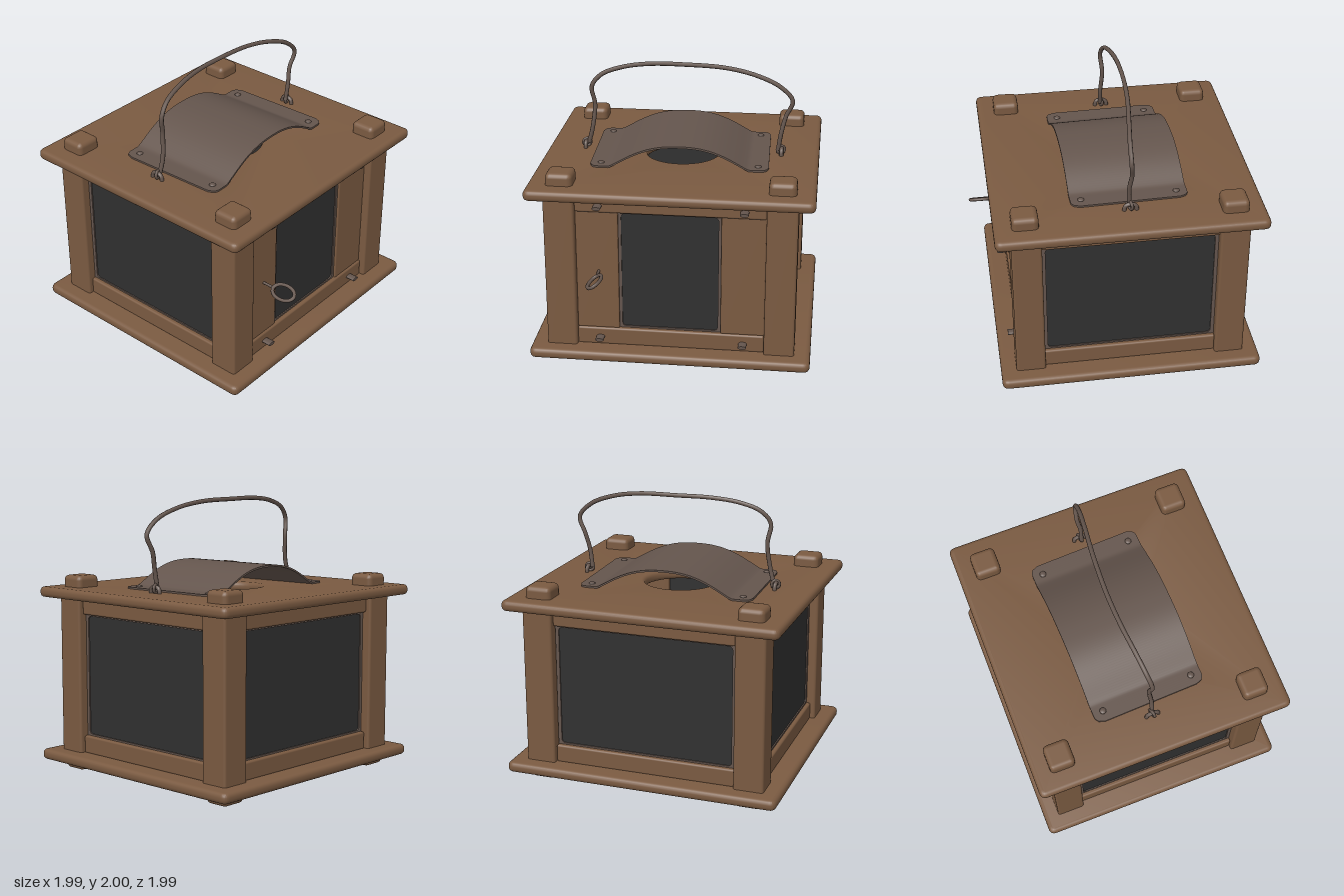
import * as THREE from 'three';
import { toCreasedNormals } from 'three/addons/utils/BufferGeometryUtils.js';
import { RoundedBoxGeometry } from 'three/addons/geometries/RoundedBoxGeometry.js';

const wood = new THREE.MeshStandardMaterial({ color: 0x7a5a41 });
wood.name = 'wood';
const metal = new THREE.MeshStandardMaterial({ color: 0x64554d });
metal.name = 'iron';
const glass = new THREE.MeshStandardMaterial({ color: 0x303030 });
glass.name = 'dark glass';

const CZ = -0.055; // centre of the wooden body in z

function add(parent, name, geometry, material, x = 0, y = 0, z = 0) {
  const mesh = new THREE.Mesh(geometry, material);
  mesh.name = name;
  mesh.position.set(x, y, z);
  parent.add(mesh);
  return mesh;
}

// Rounded box given by its limits
function block(parent, name, x0, x1, y0, y1, z0, z1, radius = 0.014) {
  const geo = new RoundedBoxGeometry(x1 - x0, y1 - y0, z1 - z0, 2, radius);
  return add(parent, name, geo, wood, (x0 + x1) / 2, (y0 + y1) / 2, (z0 + z1) / 2);
}

function roundedRect(target, x0, x1, y0, y1, r) {
  target.moveTo(x0 + r, y0);
  target.lineTo(x1 - r, y0).quadraticCurveTo(x1, y0, x1, y0 + r);
  target.lineTo(x1, y1 - r).quadraticCurveTo(x1, y1, x1 - r, y1);
  target.lineTo(x0 + r, y1).quadraticCurveTo(x0, y1, x0, y1 - r);
  target.lineTo(x0, y0 + r).quadraticCurveTo(x0, y0, x0 + r, y0);
  return target;
}

// Roof or floor board with soft edges and an optional round vent
function board(parent, name, y, ventRadius) {
  const shape = roundedRect(new THREE.Shape(), -0.995, 0.995, -0.935, 0.935, 0.05);
  if (ventRadius) {
    shape.holes.push(new THREE.Path().absarc(0, 0, ventRadius, 0, Math.PI * 2, true));
  }
  const geo = new THREE.ExtrudeGeometry(shape, {
    depth: 0.015, bevelThickness: 0.03, bevelSize: 0.03, bevelOffset: -0.03, bevelSegments: 4, curveSegments: 20,
  });
  geo.rotateX(-Math.PI / 2);
  add(parent, name, toCreasedNormals(geo, 0.7), wood, 0, y + 0.03, CZ);
}

// Glazed wall, facing local +z; glass spans g0 to g1 within the half width w
function wall(parent, name, angle, distance, w, g0, g1) {
  const side = new THREE.Group();
  side.name = name;
  side.rotation.y = angle;
  side.position.z = CZ;
  const d = distance;
  block(side, 'bottomRail', -w, w, 0.14, 0.27, d - 0.12, d - 0.035);
  block(side, 'topRail', -w, w, 1.16, 1.29, d - 0.12, d - 0.035);
  if (g0 > -w + 0.05) {
    block(side, 'leftStile', -w, g0, 0.265, 1.165, d - 0.12, d - 0.05, 0.01);
    block(side, 'rightStile', g1, w, 0.265, 1.165, d - 0.12, d - 0.05, 0.01);
  }
  const trim = roundedRect(new THREE.Shape(), g0 - 0.005, g1 + 0.005, 0.26, 1.17, 0.01);
  trim.holes.push(roundedRect(new THREE.Path(), g0 + 0.02, g1 - 0.02, 0.282, 1.148, 0.03));
  const trimGeo = new THREE.ExtrudeGeometry(trim, { depth: 0.02, bevelEnabled: false });
  add(side, 'windowTrim', trimGeo, metal, 0, 0, d - 0.085);
  add(side, 'windowPane', new THREE.BoxGeometry(g1 - g0, 0.9, 0.016), glass, (g0 + g1) / 2, 0.715, d - 0.082);
  parent.add(side);
}

// Height of the bent heat shield over its flat edges
function archHeight(x) {
  const t = Math.min(1, Math.abs(x) / 0.5);
  return 0.16 * Math.pow(1 - Math.pow(t, 2.4), 1.25);
}

function heatShield(parent) {
  const shield = new THREE.Group();
  shield.name = 'heatShield';
  shield.position.set(0, 1.358, -0.06);
  shield.rotation.y = 0.032;
  const halfX = 0.635, halfZ = 0.41, r = 0.06;
  const geo = new THREE.BoxGeometry(halfX * 2, 0.014, halfZ * 2, 80, 1, 1);
  const p = geo.attributes.position;
  for (let i = 0; i < p.count; i++) {
    const x = p.getX(i);
    const c = Math.max(0, Math.abs(x) - (halfX - r));
    const z = halfZ - r + Math.sqrt(Math.max(0, r * r - c * c));
    p.setY(i, p.getY(i) + archHeight(x));
    p.setZ(i, Math.sign(p.getZ(i)) * z);
  }
  add(shield, 'bentSheet', toCreasedNormals(geo, 0.6), metal);
  for (const sx of [-1, 1]) for (const sz of [-1, 1]) {
    const rivet = add(shield, 'rivet', new THREE.SphereGeometry(0.024, 12, 8), metal, sx * 0.56, 0.007, sz * 0.335);
    rivet.scale.y = 0.5;
  }
  parent.add(shield);
}

function wire(points, radius, segments, closed = false) {
  const curve = new THREE.CatmullRomCurve3(points.map((q) => new THREE.Vector3(...q)), closed);
  return new THREE.TubeGeometry(curve, segments, radius, 8, closed);
}

export function createModel() {
  const model = new THREE.Group();
  model.name = 'lantern';

  board(model, 'floorBoard', 0.07, 0);
  board(model, 'roofBoard', 1.277, 0.26);

  // Corner posts with tenons showing above the roof and below the floor
  for (const sx of [-1, 1]) for (const sz of [-1, 1]) {
    const x = sx * 0.773, z = CZ + sz * 0.72;
    block(model, 'cornerPost', x - 0.108, x + 0.108, 0.12, 1.3, z - 0.105, z + 0.105, 0.018);
    const tx = sx * 0.768;
    block(model, 'postTop', tx - 0.095, tx + 0.095, 1.3, 1.437, z - 0.092, z + 0.092, 0.035);
    block(model, 'foot', tx - 0.095, tx + 0.095, 0.005, 0.12, z - 0.09, z + 0.09, 0.03);
  }

  // Walls: a narrow door window in front, full panes elsewhere
  wall(model, 'frontDoor', 0, 0.825, 0.665, -0.365, 0.355);
  wall(model, 'backWall', Math.PI, 0.825, 0.665, -0.655, 0.655);
  wall(model, 'leftWall', Math.PI / 2, 0.88, 0.62, -0.61, 0.61);
  wall(model, 'rightWall', -Math.PI / 2, 0.88, 0.62, -0.61, 0.61);

  // Door pegs
  for (const x of [-0.5, 0.515]) for (const y of [0.205, 1.215]) {
    const peg = add(model, 'doorPeg', new THREE.CylinderGeometry(0.03, 0.03, 0.09, 14), metal, x, y, 0.757);
    peg.rotation.x = Math.PI / 2;
    peg.scale.z = 0.42;
  }

  // Door pull: a tilted oval ring on a short stem
  const pull = new THREE.Group();
  pull.name = 'doorPull';
  pull.position.set(-0.505, 0.712, 0);
  pull.rotation.z = 0.55;
  const ring = [];
  for (let i = 0; i < 12; i++) {
    const a = (i / 12) * Math.PI * 2;
    ring.push([Math.cos(a) * 0.055, 0, 0.897 + Math.sin(a) * 0.09]);
  }
  add(pull, 'pullRing', wire(ring, 0.013, 40, true), metal);
  const stem = add(pull, 'pullStem', new THREE.CylinderGeometry(0.01, 0.01, 0.12, 8), metal, 0, 0, 0.75);
  stem.rotation.x = Math.PI / 2;
  model.add(pull);

  heatShield(model);

  // Bent wire carrying handle
  const path = [
    [-0.7, 1.385, -0.06], [-0.67, 1.5, -0.055], [-0.65, 1.68, -0.068], [-0.668, 1.82, -0.055],
    [-0.6, 1.905, -0.07], [-0.45, 1.96, -0.09], [-0.25, 1.985, -0.112], [0, 1.985, -0.12],
    [0.3, 1.975, -0.105], [0.52, 1.935, -0.08], [0.7, 1.86, -0.06], [0.79, 1.76, -0.058],
    [0.745, 1.64, -0.068], [0.715, 1.52, -0.055], [0.695, 1.385, -0.06],
  ];
  add(model, 'carryHandle', wire(path, 0.016, 110), metal);

  // Staples holding the handle ends
  for (const sx of [-1, 1]) {
    const loop = add(model, 'handleLoop', new THREE.TorusGeometry(0.028, 0.011, 8, 18), metal, sx * 0.715, 1.385, -0.065);
    loop.rotation.y = 0.3;
    const staple = [[0, -0.03, -0.045], [0, 0.025, -0.035], [0, 0.038, 0], [0, 0.025, 0.035], [0, -0.03, 0.045]];
    add(model, 'staple', wire(staple, 0.015, 20), metal, sx * 0.72, 1.36, -0.065);
  }

  return model;
}
